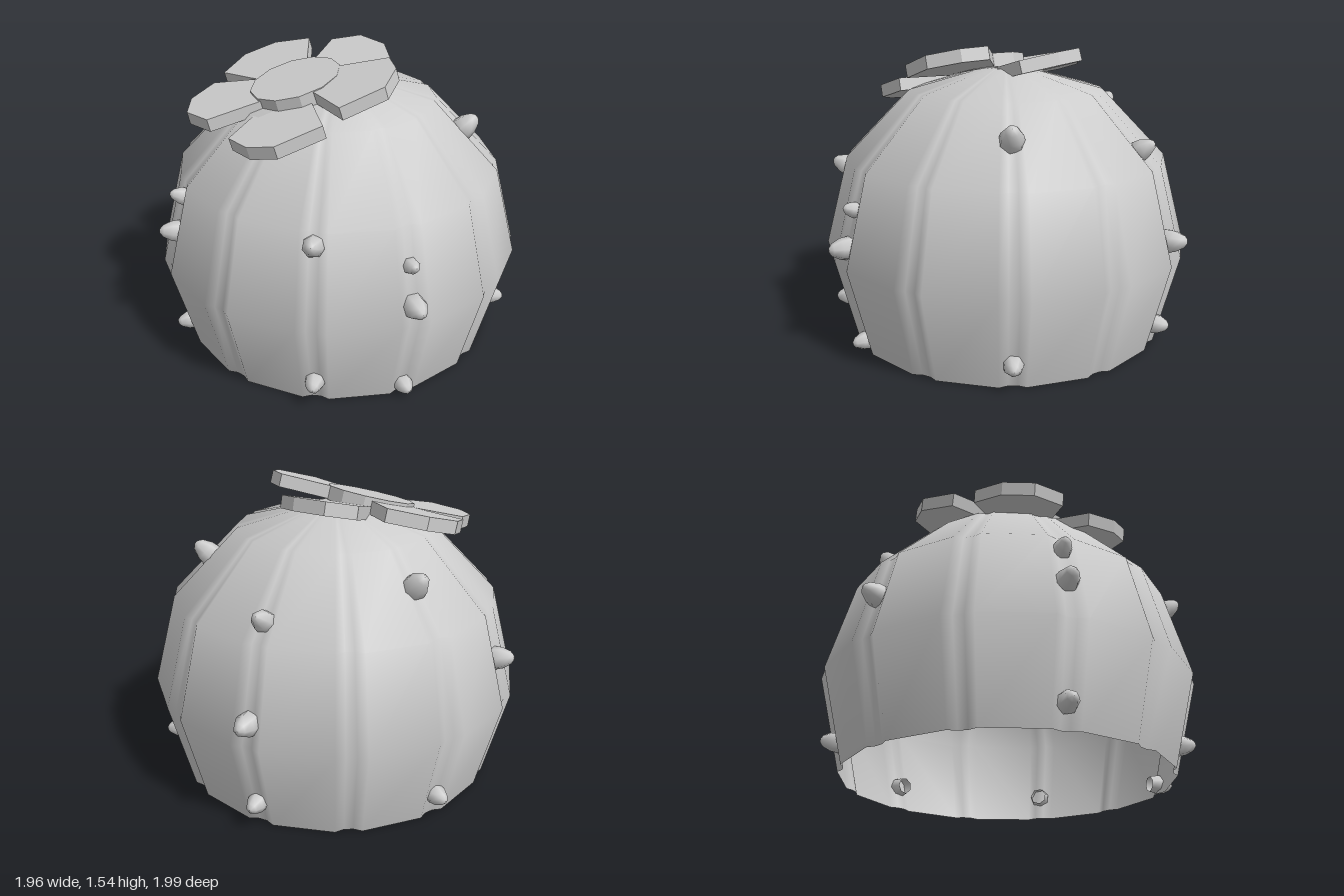
import * as THREE from 'three';

const material = new THREE.MeshStandardMaterial({ color: 0xcccccc, side: THREE.DoubleSide });
const CX = 0.017, CZ = -0.03; // axis of the body
// Height and ridge radius of the body, bottom to top
const PROFILE = [[0, 0.85], [0.48, 0.972], [0.95, 0.848], [1.3, 0.51], [1.41, 0.11], [1.412, 0.001]];
const RIBS = 12;

function radiusAt(y) {
  const i = Math.max(1, PROFILE.findIndex(p => p[0] >= y));
  const [y0, r0] = PROFILE[i - 1], [y1, r1] = PROFILE[i];
  return r0 + (r1 - r0) * (y - y0) / (y1 - y0);
}

function mesh(name, geometry) {
  const m = new THREE.Mesh(geometry, material);
  m.name = name;
  return m;
}

// Open dome whose cross-section has a narrow groove every 30 degrees
function bodyGeometry() {
  const section = [[-4.5, 1], [-1.6, 0.975], [1.6, 0.975], [4.5, 1]]; // degrees from groove, radius factor
  const n = RIBS * section.length, positions = [], index = [];
  for (const [y, r] of PROFILE) {
    for (let k = 0; k < RIBS; k++) {
      for (const [deg, f] of section) {
        const a = THREE.MathUtils.degToRad(k * 360 / RIBS + deg);
        positions.push(CX + Math.cos(a) * r * f, y, CZ + Math.sin(a) * r * f);
      }
    }
  }
  for (let i = 0; i < PROFILE.length - 1; i++) {
    for (let j = 0; j < n; j++) {
      const a = i * n + j, b = i * n + (j + 1) % n;
      index.push(a, a + n, b, b, a + n, b + n);
    }
  }
  const g = new THREE.BufferGeometry();
  g.setAttribute('position', new THREE.Float32BufferAttribute(positions, 3));
  g.setIndex(index);
  g.computeVertexNormals();
  return g;
}

// Flat slab with outline [x, z], its top lying on y = a + b x + c z
function slab(outline, a, b, c, thickness) {
  const shape = new THREE.Shape(outline.map(([x, z]) => new THREE.Vector2(x, -z)));
  const g = new THREE.ExtrudeGeometry(shape, { depth: thickness, bevelEnabled: false });
  g.rotateX(-Math.PI / 2);
  const p = g.attributes.position;
  for (let i = 0; i < p.count; i++) {
    const x = p.getX(i), z = p.getZ(i), down = thickness - p.getY(i);
    p.setXYZ(i, x + b * down, a + b * x + c * z - down, z + c * down);
  }
  g.computeVertexNormals();
  return g;
}

export function createModel() {
  const model = new THREE.Group();
  model.add(mesh('body', bodyGeometry()));

  // Blunt spines sitting in the grooves: [angle from +x towards +z, height, size]
  const spineGeometry = new THREE.LatheGeometry(
    [[0.046, -0.05], [0.056, 0], [0.05, 0.04], [0.03, 0.08], [0.012, 0.094], [0, 0.096]]
      .map(([r, y]) => new THREE.Vector2(r, y)), 7);
  const spines = new THREE.Group();
  spines.name = 'spines';
  const up = new THREE.Vector3(0, 1, 0);
  for (const [deg, y, size] of [
    [30, 1.14, 1.15], [30, 0.13, 0.95], [-30, 1.03, 1], [-30, 0.59, 1.1], [-30, 0.13, 0.95],
    [-90, 1.14, 1.15], [-90, 0.13, 0.95], [-120, 0.71, 1.1],
    [180, 0.87, 0.85], [180, 0.68, 1.05], [180, 0.12, 0.95],
    [120, 0.88, 1], [120, 0.13, 0.95],
    [90, 0.76, 0.75], [90, 0.57, 1.1], [90, 0.055, 0.9],
  ]) {
    const a = THREE.MathUtils.degToRad(deg), r = radiusAt(y) * 0.97;
    const spine = mesh('spine', spineGeometry);
    spine.position.set(CX + Math.cos(a) * r, y, CZ + Math.sin(a) * r);
    const lean = Math.max(0, y - 0.5);
    const direction = new THREE.Vector3(Math.cos(a) * r, lean, Math.sin(a) * r).normalize();
    spine.quaternion.setFromUnitVectors(up, direction);
    spine.scale.setScalar(size);
    spines.add(spine);
  }
  model.add(spines);

  // Flower leaning to one side: five petals around a disc
  const flower = new THREE.Group();
  flower.name = 'flower';
  const petals = [
    { name: 'frontLeftPetal', plane: [1.485, 0.3, 0],
      outline: [[-0.21, 0.17], [-0.18, 0.46], [0.05, 0.46], [0.17, 0.33], [0.2, 0.19], [-0.02, 0.03]] },
    { name: 'leftPetal', plane: [1.41, 0.25, -0.12],
      outline: [[-0.02, 0.04], [0.28, 0.06], [0.33, -0.14], [0.27, -0.32], [0.13, -0.39], [-0.09, -0.2]] },
    { name: 'backPetal', plane: [1.46, 0.27, -0.03],
      outline: [[-0.09, -0.2], [0.03, -0.48], [-0.13, -0.6], [-0.31, -0.6], [-0.47, -0.47], [-0.34, -0.2]] },
    { name: 'rightPetal', plane: [1.45, 0.22, 0],
      outline: [[-0.33, -0.21], [-0.55, -0.38], [-0.7, -0.28], [-0.76, -0.13], [-0.7, 0.04], [-0.41, 0.05]] },
    { name: 'frontRightPetal', plane: [1.425, 0.27, 0],
      outline: [[-0.41, 0.03], [-0.64, 0.2], [-0.6, 0.36], [-0.5, 0.46], [-0.26, 0.46], [-0.21, 0.17]] },
  ];
  for (const { name, plane, outline } of petals) flower.add(mesh(name, slab(outline, ...plane, 0.065)));

  const disc = [];
  for (let i = 0; i < 12; i++) {
    const a = (i + 0.5) * Math.PI / 6;
    disc.push([-0.22 + 0.228 * Math.cos(a), -0.025 + 0.232 * Math.sin(a)]);
  }
  flower.add(mesh('flowerCentre', slab(disc, 1.485, 0.27, 0, 0.07)));
  model.add(flower);
  return model;
}
